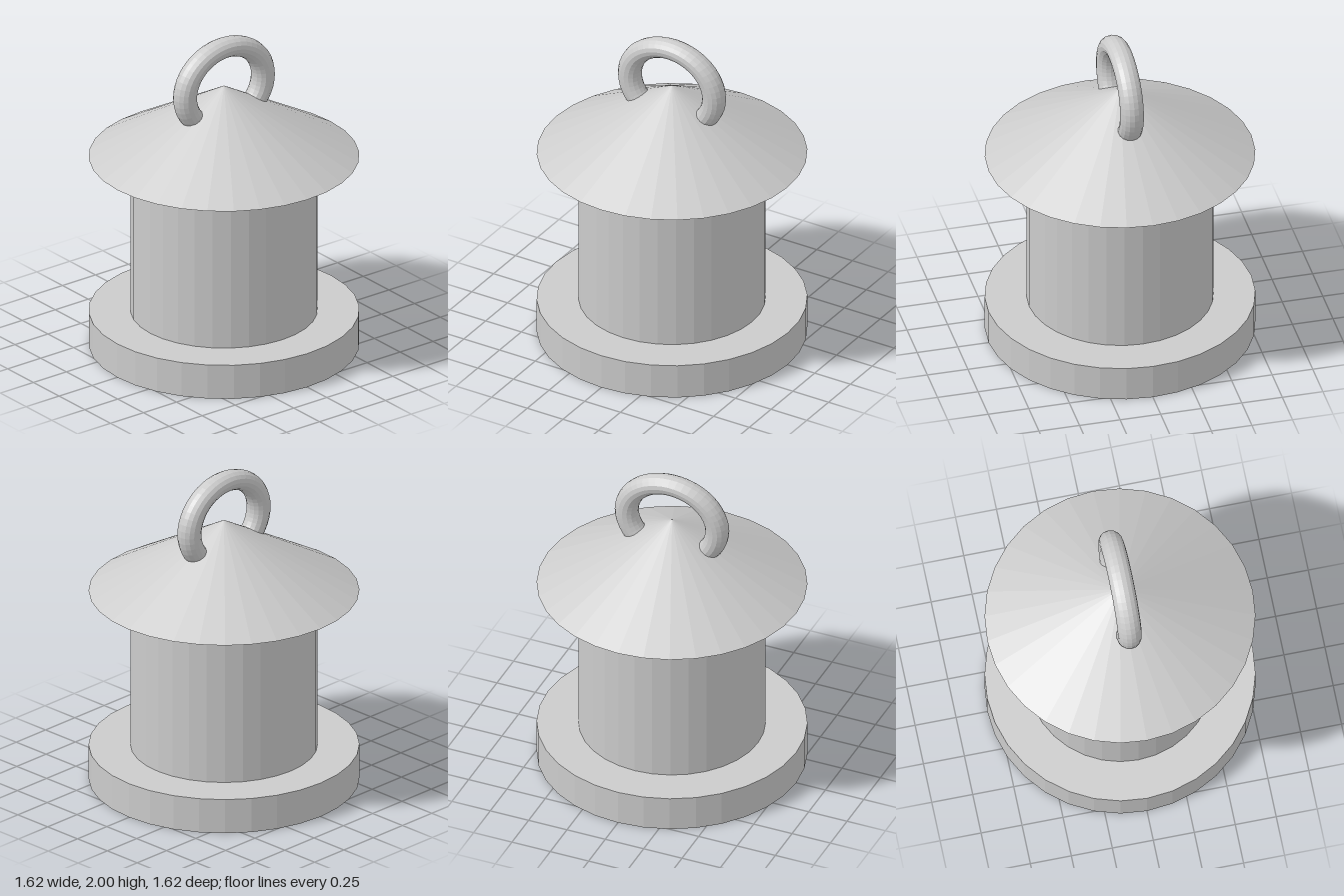
import * as THREE from 'three';

const SIDES = 32;

export function createModel() {
  const group = new THREE.Group();
  const material = new THREE.MeshStandardMaterial({ color: 0xcccccc, flatShading: true });

  const add = (name, geometry, y) => {
    const mesh = new THREE.Mesh(geometry, material);
    mesh.name = name;
    mesh.position.y = y;
    group.add(mesh);
    return mesh;
  };

  // Upright faceted drum or cone between two heights
  const drum = (name, topRadius, bottomRadius, y0, y1) => {
    const geometry = topRadius > 0
      ? new THREE.CylinderGeometry(topRadius, bottomRadius, y1 - y0, SIDES)
      : new THREE.ConeGeometry(bottomRadius, y1 - y0, SIDES);
    return add(name, geometry, (y0 + y1) / 2);
  };

  drum('base', 0.81, 0.81, 0, 0.22);
  drum('body', 0.56, 0.56, 0.22, 1.23);
  drum('roof', 0, 0.81, 1.23, 1.69);

  // Hanging ring, slightly flattened, its lower part sunk into the roof
  const ring = new THREE.TorusGeometry(0.295, 0.072, 16, 48);
  ring.rotateY(Math.PI / 2);
  ring.scale(1, 0.85, 1);
  add('hangingRing', ring, 1.688);

  return group;
}
